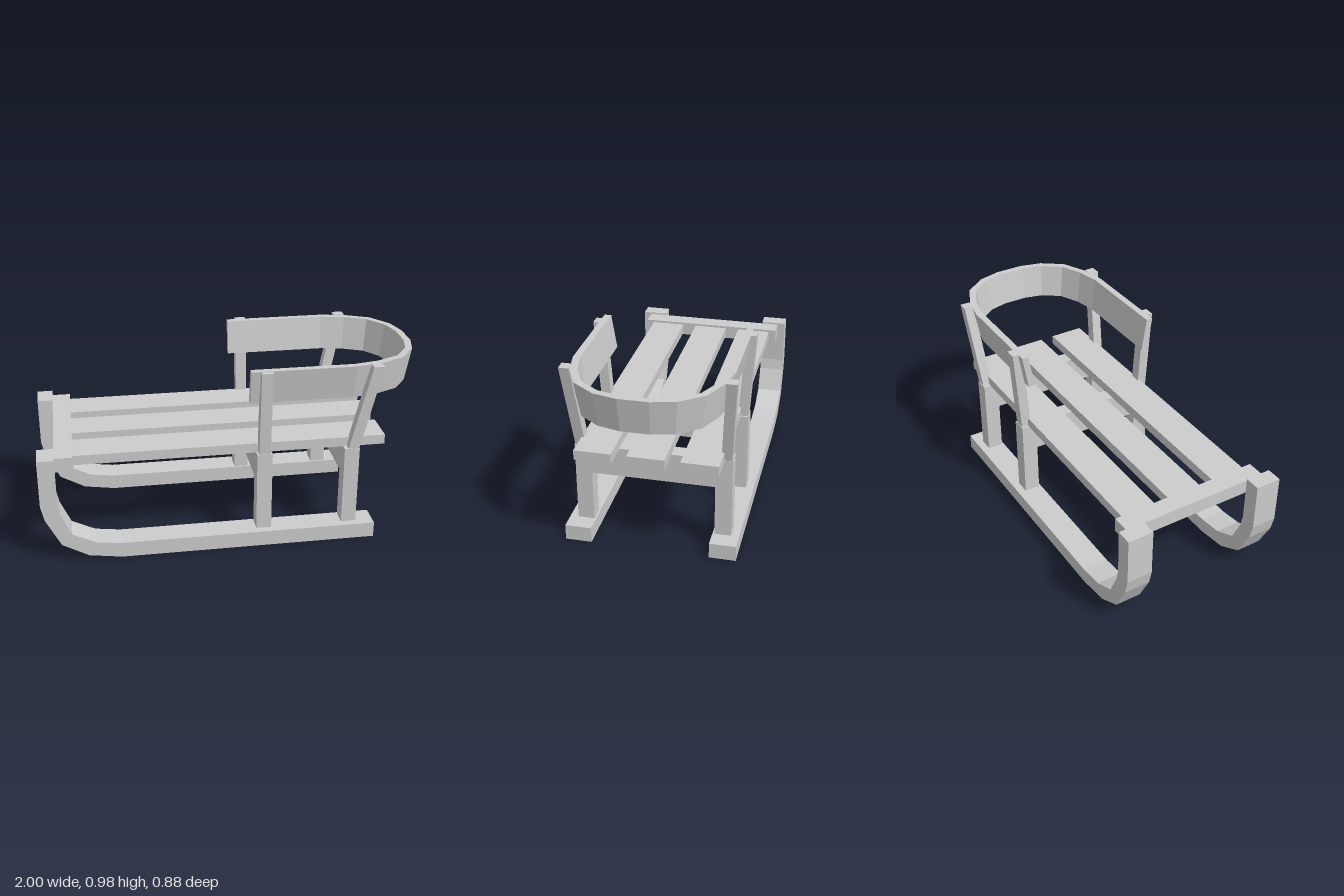
import * as THREE from 'three';

const material = new THREE.MeshStandardMaterial({ color: 0xcccccc, flatShading: true });

function add(group, name, geometry, x = 0, y = 0, z = 0) {
  const mesh = new THREE.Mesh(geometry, material);
  mesh.name = name;
  mesh.position.set(x, y, z);
  group.add(mesh);
}

// Box given by its limits on each axis
function addBox(group, name, [x0, x1], [y0, y1], [z0, z1]) {
  add(group, name, new THREE.BoxGeometry(x1 - x0, y1 - y0, z1 - z0),
    (x0 + x1) / 2, (y0 + y1) / 2, (z0 + z1) / 2);
}

function extrude(points, depth) {
  const shape = new THREE.Shape(points.map(([x, y]) => new THREE.Vector2(x, y)));
  return new THREE.ExtrudeGeometry(shape, { depth, bevelEnabled: false });
}

// Joins four-cornered rings into a closed solid
function loft(rings) {
  const out = [];
  const quad = (a, b, c, d) => out.push(...a, ...b, ...c, ...a, ...c, ...d);
  for (let i = 0; i < rings.length - 1; i++) {
    for (let j = 0; j < 4; j++) {
      const k = (j + 1) % 4;
      quad(rings[i][j], rings[i][k], rings[i + 1][k], rings[i + 1][j]);
    }
  }
  const [a, b, c, d] = rings[0];
  quad(d, c, b, a);
  quad(...rings[rings.length - 1]);
  const geometry = new THREE.BufferGeometry();
  geometry.setAttribute('position', new THREE.Float32BufferAttribute(out, 3));
  geometry.computeVertexNormals();
  return geometry;
}

// Horizontal rectangle used as the end of a leaning post
function rect(x0, x1, y, za, zb) {
  const z0 = Math.min(za, zb), z1 = Math.max(za, zb);
  return [[x0, y, z0], [x0, y, z1], [x1, y, z1], [x1, y, z0]];
}

// Bent backrest band, leaning outwards towards its top edge
function bandGeometry() {
  const half = [[0.08, 0.398], [0.62, 0.398], [0.755, 0.37], [0.885, 0.31], [0.97, 0.195], [1, 0.075]];
  const path = [...half, ...half.map(([x, z]) => [x, -z]).reverse()];
  const normal = (p, q) => {
    const dx = q[0] - p[0], dz = q[1] - p[1], l = Math.hypot(dx, dz);
    return [-dz / l, dx / l];
  };
  const rings = path.map((p, i) => {
    const next = path[i + 1], prev = path[i - 1];
    const n1 = prev ? normal(prev, p) : normal(p, next);
    const n2 = next ? normal(p, next) : n1;
    const s = 1 / (1 + n1[0] * n2[0] + n1[1] * n2[1]);
    const at = (inset, y) => [p[0] - (n1[0] + n2[0]) * s * inset, y, p[1] - (n1[1] + n2[1]) * s * inset];
    return [at(0.064, 0.795), at(0.036, 0.975), at(0, 0.975), at(0.03, 0.795)];
  });
  return loft(rings);
}

export function createModel() {
  const sled = new THREE.Group();
  sled.name = 'sled';

  // Runners curling up at the nose
  const runner = extrude([
    [-1, 0.585], [-1, 0.33], [-0.982, 0.25], [-0.905, 0.1], [-0.77, 0.025], [-0.6, 0],
    [0.75, 0], [0.75, 0.083], [-0.6, 0.083], [-0.73, 0.1], [-0.85, 0.158], [-0.905, 0.28],
    [-0.917, 0.34], [-0.917, 0.585],
  ], 0.137);
  add(sled, 'leftRunner', runner, 0, 0, 0.305);
  add(sled, 'rightRunner', runner, 0, 0, -0.442);

  // Two arched leg frames
  const arch = extrude([
    [-0.4, 0.083], [-0.315, 0.083], [-0.315, 0.358], [0.315, 0.358],
    [0.315, 0.083], [0.4, 0.083], [0.4, 0.515], [-0.4, 0.515],
  ], 0.08).rotateY(Math.PI / 2);
  add(sled, 'frontLegFrame', arch, 0.116);
  add(sled, 'rearLegFrame', arch, 0.578);

  // Seat slats and the nose crossbar
  for (const z of [-0.265, 0, 0.265]) {
    addBox(sled, 'seatSlat', [-0.83, 0.802], [0.512, 0.564], [z - 0.094, z + 0.094]);
  }
  addBox(sled, 'noseCrossbar', [-0.917, -0.82], [0.5, 0.576], [-0.4, 0.4]);

  // Leaning posts and the backrest band they hold
  for (const s of [1, -1]) {
    const side = s > 0 ? 'left' : 'right';
    add(sled, side + 'FrontPost', loft([
      rect(0.127, 0.186, 0.512, s * 0.343, s * 0.396), rect(0.127, 0.186, 0.974, s * 0.375, s * 0.428)]));
    add(sled, side + 'RearPost', loft([
      rect(0.598, 0.656, 0.512, s * 0.343, s * 0.396), rect(0.698, 0.754, 0.977, s * 0.375, s * 0.428)]));
  }
  add(sled, 'backrestBand', bandGeometry());

  return sled;
}
